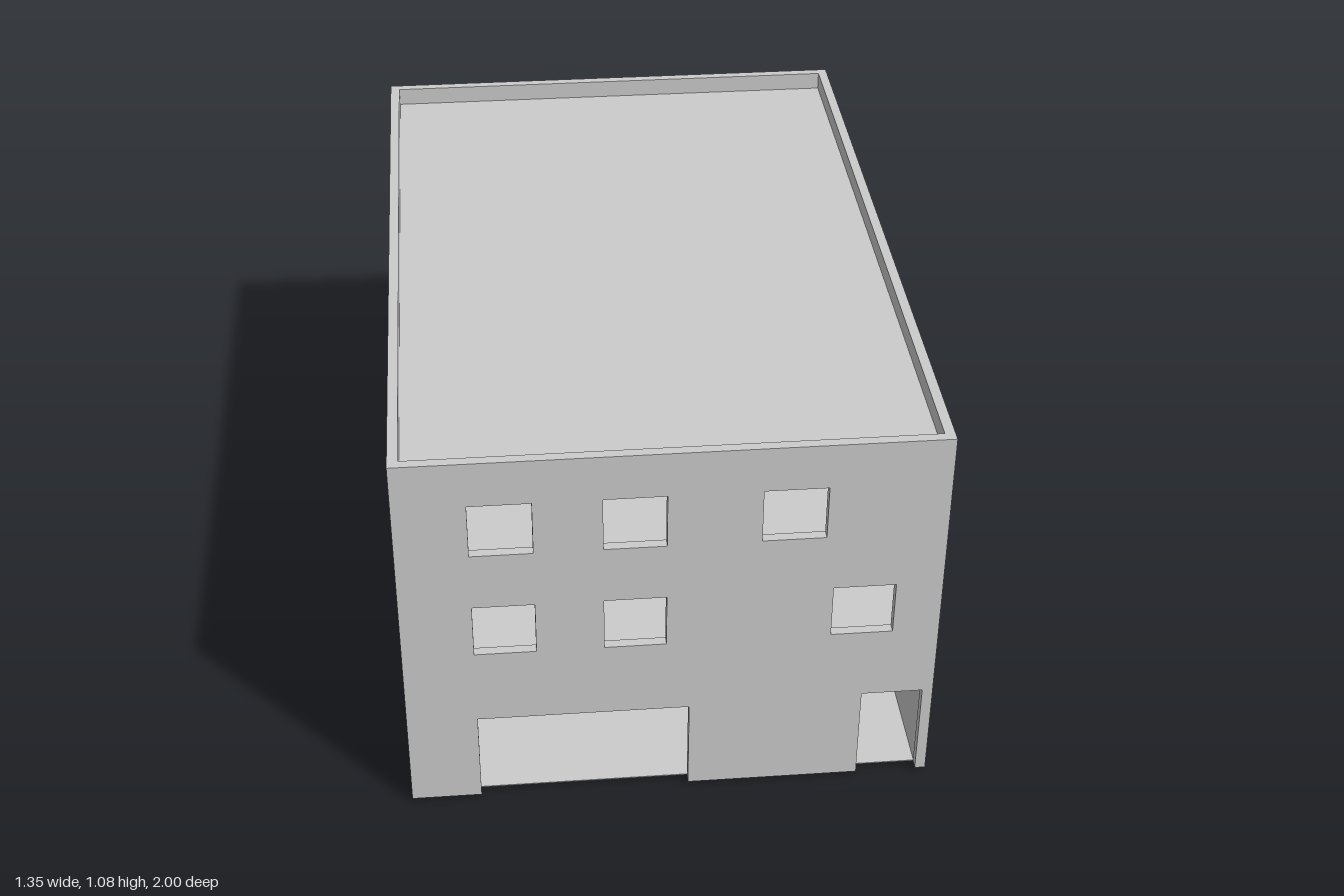
import * as THREE from 'three';

const W = 0.675, L = 1, T = 0.026;          // half width, half length, wall thickness
const BASE = 0.012, TOP = 1.075;
const FLOOR1 = 0.347, FLOOR2 = 0.66, ROOF = 1.025;
const SLAB = 0.02;

export function createModel() {
  const model = new THREE.Group();
  const mat = new THREE.MeshStandardMaterial({ color: 0xcccccc, flatShading: true });

  const add = (name, geometry, parent = model) => {
    const mesh = new THREE.Mesh(geometry, mat);
    mesh.name = name;
    parent.add(mesh);
    return mesh;
  };
  // Box given by its two opposite corners
  const box = (name, x0, x1, y0, y1, z0, z1, parent) => {
    const mesh = add(name, new THREE.BoxGeometry(x1 - x0, y1 - y0, z1 - z0), parent);
    mesh.position.set((x0 + x1) / 2, (y0 + y1) / 2, (z0 + z1) / 2);
    return mesh;
  };
  const rectHole = (x0, x1, y0, y1) => new THREE.Path([
    new THREE.Vector2(x0, y0), new THREE.Vector2(x0, y1),
    new THREE.Vector2(x1, y1), new THREE.Vector2(x1, y0)]);

  // Upright wall across x, with windows as holes and doors as notches from its foot
  const wall = (name, x0, x1, y0, y1, z, depth, windows = [], doors = []) => {
    const s = new THREE.Shape();
    s.moveTo(x0, y0);
    for (const [a, b, h] of doors) {
      s.lineTo(a, y0); s.lineTo(a, h); s.lineTo(b, h); s.lineTo(b, y0);
    }
    s.lineTo(x1, y0); s.lineTo(x1, y1); s.lineTo(x0, y1); s.closePath();
    for (const w of windows) s.holes.push(rectHole(...w));
    const mesh = add(name, new THREE.ExtrudeGeometry(s, { depth, bevelEnabled: false }));
    mesh.position.z = z;
    return mesh;
  };

  // Two window rows at shared heights
  const row = (xs, y0, y1) => xs.map(([a, b]) => [a, b, y0, y1]);
  const upper = [0.80, 0.95], lower = [0.49, 0.64];
  wall('frontWall', -W, W, BASE, TOP, L - T, T, [
    ...row([[-0.495, -0.34], [-0.17, -0.015], [0.217, 0.375]], ...upper),
    ...row([[-0.495, -0.34], [-0.17, -0.015], [0.40, 0.557]], ...lower),
  ], [[-0.495, 0.045, 0.275], [0.49, 0.648, 0.285]]);
  wall('backWall', -W, W, BASE, TOP, -L, T, [
    ...row([[-0.328, -0.168], [0.033, 0.19], [0.362, 0.525]], ...upper),
    ...row([[-0.328, -0.168], [0.043, 0.2], [0.362, 0.525]], ...lower),
  ]);

  // Side walls, which carry on up as the parapet
  box('leftWall', W - T, W, BASE, TOP, -L + T, L - T);
  box('rightWall', -W, -W + T, BASE, TOP, -L + T, L - T);

  // Ground floor and roof
  const ix = W - T, iz = L - T;
  box('groundFloor', -ix, ix, BASE, BASE + 0.003, -iz, iz);
  box('roof', -ix, ix, ROOF - SLAB, ROOF, -iz, iz);

  // Upper floors, open above the stairs
  const stairX0 = 0.49, stairX1 = 0.648, stairZ0 = 0.05, stairZ1 = 0.57;
  for (const [name, y] of [['firstFloor', FLOOR1], ['secondFloor', FLOOR2]]) {
    const s = new THREE.Shape([
      new THREE.Vector2(-ix, -iz), new THREE.Vector2(ix, -iz),
      new THREE.Vector2(ix, iz), new THREE.Vector2(-ix, iz)]);
    s.holes.push(rectHole(stairX0, stairX1, -stairZ1, -stairZ0));
    const g = new THREE.ExtrudeGeometry(s, { depth: SLAB, bevelEnabled: false });
    g.rotateX(-Math.PI / 2);
    add(name, g).position.y = y - SLAB;
  }

  // Stair flights climbing towards the back
  const flight = (name, y0, y1, steps) => {
    const group = new THREE.Group();
    group.name = name;
    const rise = (y1 - y0) / steps, run = (stairZ1 - stairZ0) / steps;
    for (let i = 0; i < steps; i++) {
      const front = stairZ1 - i * run, y = y0 + i * rise;
      box('step', stairX0, stairX1 - 0.003, y, y + rise, front - run, front, group);
    }
    model.add(group);
  };
  flight('lowerStairs', 0, FLOOR1, 13);
  flight('upperStairs', FLOOR1, FLOOR2, 12);

  // Inner walls around the stairwell and hall
  box('lowerStairWall', 0.475, 0.488, BASE, FLOOR1 - SLAB, stairZ0, iz);
  box('upperStairWall', 0.482, 0.489, FLOOR1, FLOOR2 - SLAB, stairZ0, stairZ1);
  box('hallWall', 0.38, 0.395, FLOOR1, FLOOR2 - SLAB, -0.2, iz);
  wall('hallEndWall', 0.38, ix, FLOOR1, FLOOR2 - SLAB, -0.215, 0.015, [], [[0.45, 0.58, 0.62]]);

  return model;
}
